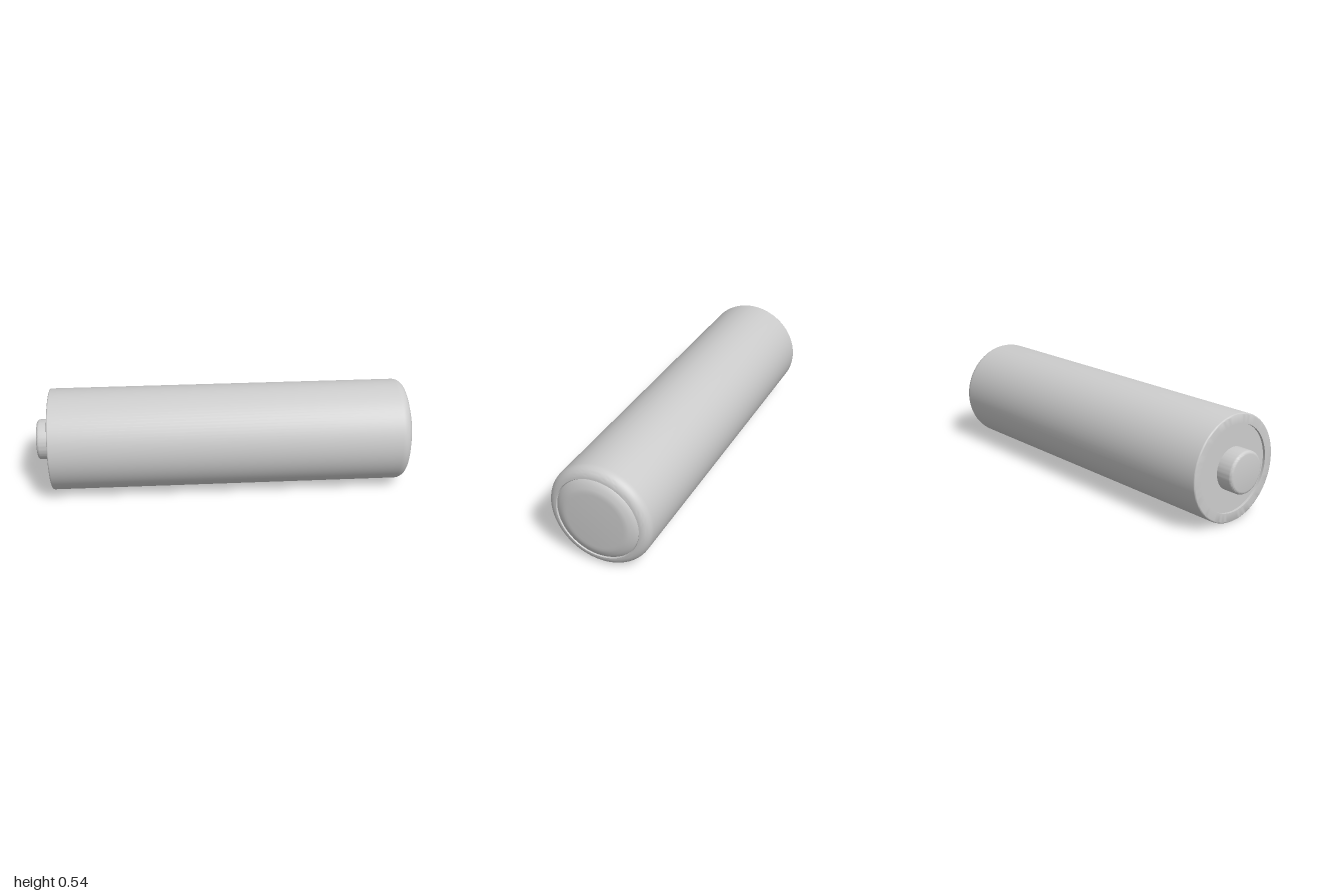
import * as THREE from 'three';
import { toCreasedNormals } from 'three/addons/utils/BufferGeometryUtils.js';

const R = 0.272;

// Quarter-round profile points [x, radius] around a centre
function arc(cx, cr, rx, rr, from, to, steps) {
  const pts = [];
  for (let i = 0; i <= steps; i++) {
    const a = from + (to - from) * i / steps;
    pts.push([cx + rx * Math.cos(a), cr + rr * Math.sin(a)]);
  }
  return pts;
}

// Turn a profile of [x, radius], running from -x to +x, about the long axis
function turned(name, profile, material) {
  const points = profile.map(([x, r]) => new THREE.Vector2(r, x));
  const geometry = new THREE.LatheGeometry(points, 96).rotateZ(-Math.PI / 2);
  const mesh = new THREE.Mesh(toCreasedNormals(geometry, 0.6), material);
  mesh.name = name;
  mesh.position.y = R;
  return mesh;
}

export function createModel() {
  const metal = new THREE.MeshStandardMaterial({ color: 0xcccccc });
  metal.name = 'light grey metal';

  const group = new THREE.Group();
  group.name = 'batteryCell';

  // Casing: recessed lip at the terminal end, rounded shoulder at the other
  group.add(turned('casing', [
    [-0.91, 0.222],
    [-0.925, 0.222],
    [-0.925, 0.264],
    ...arc(-0.917, 0.264, 0.008, 0.008, Math.PI, Math.PI / 2, 4),
    ...arc(0.927, 0.222, 0.053, 0.05, Math.PI / 2, 0, 10),
    [0.973, 0.218],
  ], metal));

  // Insulating disc sunk into the terminal end
  group.add(turned('terminalDisc', [[-0.912, 0], [-0.912, 0.222]], metal));

  // Positive terminal with a bevelled tip
  group.add(turned('terminal', [
    [-1, 0],
    [-1, 0.092],
    ...arc(-0.984, 0.092, 0.016, 0.016, Math.PI, Math.PI / 2, 4),
    [-0.912, 0.108],
  ], metal));

  // Slightly raised end cap
  group.add(turned('endCap', [
    [0.973, 0.218],
    [0.98, 0.212],
    [0.989, 0.195],
    [0.996, 0.178],
    [0.999, 0.165],
    [1, 0.15],
    [1, 0],
  ], metal));

  return group;
}
